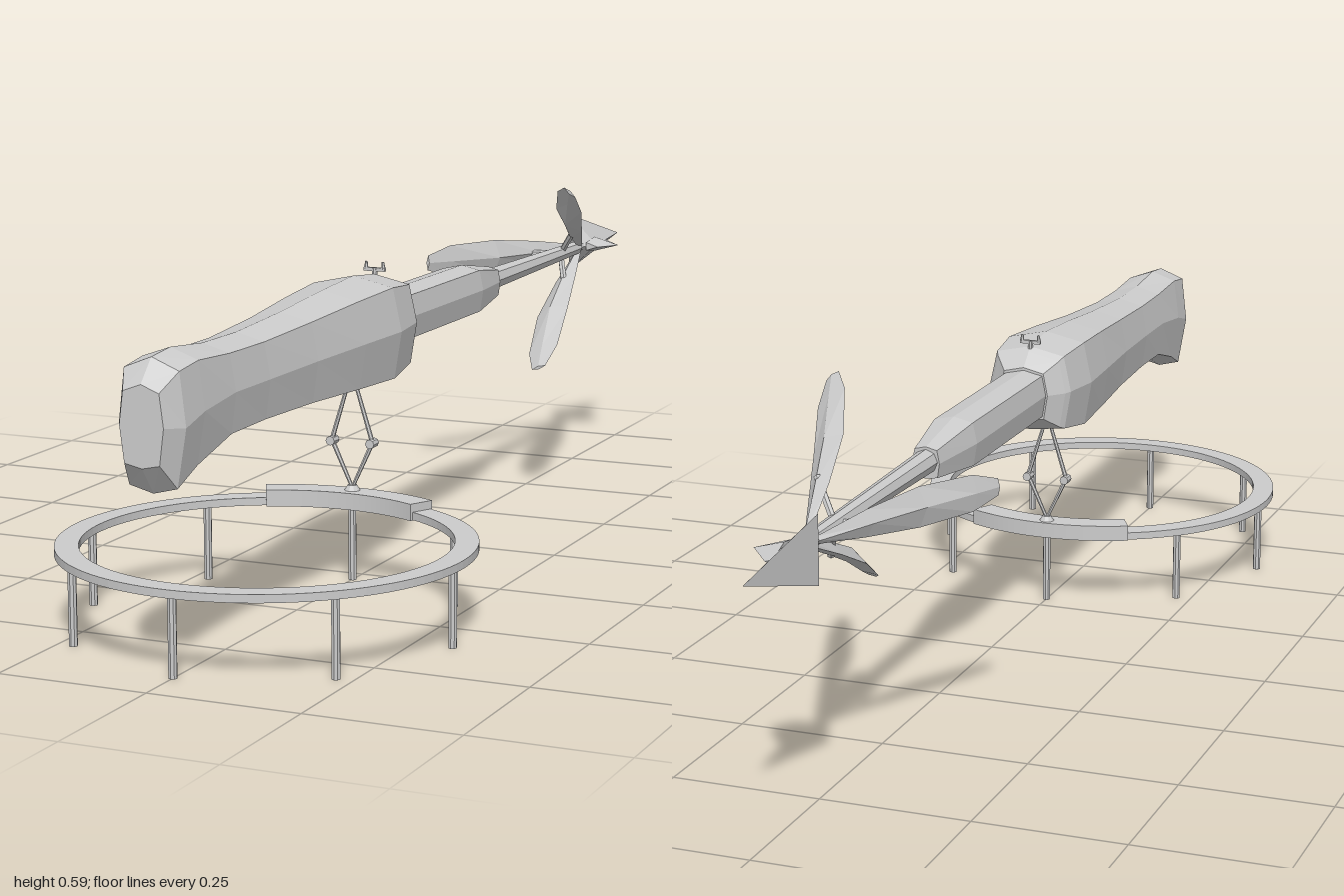
import * as THREE from 'three';

const mat = new THREE.MeshStandardMaterial({ color: 0xcccccc, flatShading: true });
const smooth = new THREE.MeshStandardMaterial({ color: 0xcccccc });

function add(parent, name, geo, material = mat) {
  const m = new THREE.Mesh(geo, material);
  m.name = name;
  parent.add(m);
  return m;
}

// Skin over rings of [x, y, z]; rings run from +z to -z, points counter-clockwise seen from +z
function loft(rings) {
  const n = rings[0].length, pos = [], idx = [];
  rings.forEach(r => r.forEach(p => pos.push(...p)));
  const centre = r => r.reduce((s, p) => s.map((v, k) => v + p[k] / n), [0, 0, 0]);
  const last = (rings.length - 1) * n, c0 = rings.length * n, c1 = c0 + 1;
  pos.push(...centre(rings[0]), ...centre(rings[rings.length - 1]));
  for (let j = 0; j < n; j++) {
    const k = (j + 1) % n;
    for (let i = 0; i < last; i += n) {
      idx.push(i + j, i + n + j, i + k, i + k, i + n + j, i + n + k);
    }
    idx.push(c0, j, k, c1, last + k, last + j);
  }
  const g = new THREE.BufferGeometry();
  g.setAttribute('position', new THREE.Float32BufferAttribute(pos, 3));
  g.setIndex(idx);
  const flat = g.toNonIndexed();
  flat.computeVertexNormals();
  return flat;
}

// Eight-sided section: half width, top, bottom, and how wide the lower corners stay
function section([z, w, top, bot, low = 0.85]) {
  const y = f => bot + (top - bot) * f;
  const right = [[0, 0], [w * low, y(0.05) - bot], [w, y(0.5) - bot], [w * 0.82, y(0.91) - bot]];
  const left = [[0, top - bot], [-w * 0.82, y(0.91) - bot], [-w, y(0.5) - bot], [-w * low, y(0.05) - bot]];
  return [...right, ...left].map(p => [p[0], p[1] + bot, z]);
}

function rod(parent, name, a, b, r0, r1 = r0, sides = 8) {
  const A = new THREE.Vector3(...a), B = new THREE.Vector3(...b);
  const d = B.clone().sub(A);
  const m = add(parent, name, new THREE.CylinderGeometry(r1, r0, d.length(), sides));
  m.position.copy(A).add(B).multiplyScalar(0.5);
  m.quaternion.setFromUnitVectors(new THREE.Vector3(0, 1, 0), d.normalize());
  return m;
}

// Flat arc band lying in the ground plane; angle 0 is +x, positive towards -z
function arcBand(inner, outer, from, to, height) {
  const s = new THREE.Shape();
  s.absarc(0, 0, outer, from, to, false);
  s.absarc(0, 0, inner, to, from, true);
  const g = new THREE.ExtrudeGeometry(s, { depth: height, bevelEnabled: false, curveSegments: 48 });
  return g.rotateX(-Math.PI / 2);
}

export function createModel() {
  const root = new THREE.Group();
  root.name = 'harpoonGun';

  // Round track on eight posts
  const stand = new THREE.Group();
  stand.name = 'stand';
  stand.position.z = 0.603;
  root.add(stand);
  add(stand, 'trackRing', arcBand(0.294, 0.332, 0, Math.PI * 2, 0.013), smooth).position.y = 0.126;
  for (let i = 0; i < 8; i++) {
    const a = i * Math.PI / 4, x = 0.315 * Math.cos(a), z = 0.315 * Math.sin(a);
    rod(stand, 'post', [x, 0, z], [x, 0.128, z], 0.007);
  }

  // Carriage sliding on the track
  const half = 0.47, back = Math.PI / 2;
  add(stand, 'carriage', arcBand(0.289, 0.335, back - half, back + half, 0.028)).position.y = 0.125;

  // Diamond-shaped yoke with elbow joints
  const yoke = new THREE.Group();
  yoke.name = 'yoke';
  yoke.position.z = 0.287;
  root.add(yoke);
  const base = add(yoke, 'yokeBase', new THREE.CylinderGeometry(0.008, 0.014, 0.01, 10));
  base.position.y = 0.157;
  for (const s of [-1, 1]) {
    rod(yoke, 'lowerArm', [0, 0.157, 0], [s * 0.037, 0.236, 0], 0.003, 0.004, 6);
    rod(yoke, 'upperArm', [s * 0.037, 0.236, 0], [s * 0.003, 0.345, 0], 0.004, 0.003, 6);
    const joint = add(yoke, 'elbow', new THREE.CylinderGeometry(0.008, 0.008, 0.02, 8));
    joint.rotation.x = Math.PI / 2;
    joint.position.set(s * 0.036, 0.235, 0);
  }

  // Stock: z, half width, top, bottom, lower corner width
  add(root, 'stock', loft([
    [1.0, 0.036, 0.456, 0.333, 0.8],
    [0.967, 0.055, 0.491, 0.29, 0.72],
    [0.91, 0.056, 0.496, 0.315, 0.75],
    [0.81, 0.055, 0.486, 0.345],
    [0.7, 0.057, 0.485, 0.347],
    [0.55, 0.065, 0.493, 0.345],
    [0.4, 0.078, 0.505, 0.34],
    [0.28, 0.087, 0.512, 0.337],
    [0.195, 0.077, 0.503, 0.35],
    [0.185, 0.07, 0.495, 0.355],
    [0.16, 0.045, 0.472, 0.376],
  ].map(section)));

  // Barrel
  add(root, 'barrel', loft([
    [0.18, 0.042, 0.467, 0.381],
    [-0.18, 0.042, 0.467, 0.381],
    [-0.305, 0.024, 0.447, 0.393],
  ].map(section)));

  // Notched sight
  const sight = new THREE.Group();
  sight.name = 'sight';
  sight.position.set(0, 0.505, 0.195);
  root.add(sight);
  rod(sight, 'sightPost', [0, -0.02, 0], [0, 0.008, 0], 0.005);
  add(sight, 'sightBar', new THREE.BoxGeometry(0.038, 0.006, 0.006)).position.y = 0.006;
  for (const s of [-1, 1]) {
    rod(sight, 'sightProng', [s * 0.016, 0.006, 0], [s * 0.015, 0.019, 0], 0.004, 0.002, 6);
  }

  // Harpoon, built about its own axis
  const harpoon = new THREE.Group();
  harpoon.name = 'harpoon';
  harpoon.position.y = 0.422;
  root.add(harpoon);
  rod(harpoon, 'shaft', [0, 0, -0.29], [0, 0, -0.76], 0.021, 0.013);
  rod(harpoon, 'neck', [0, 0, -0.75], [0, 0, -0.82], 0.011, 0.006);

  // Three swept barbs: angle in degrees, tip radius, tip z
  for (const [deg, R, tip] of [[52, 0.198, -0.4], [178, 0.17, -0.42], [-69, 0.185, -0.392]]) {
    const barb = new THREE.Group();
    barb.name = 'barb';
    barb.rotation.z = THREE.MathUtils.degToRad(deg);
    harpoon.add(barb);
    // fraction along, radius, half width, half thickness
    const rings = [
      [0, R, 0.014, 0.003],
      [0.13, R * 0.85, 0.03, 0.007],
      [0.4, R * 0.54, 0.033, 0.013],
      [0.7, R * 0.28, 0.022, 0.011],
      [1, 0.009, 0.006, 0.006],
    ].map(([f, r, w, t]) => {
      const z = THREE.MathUtils.lerp(tip, -0.765, f);
      return [[r + t, 0, z], [r, w, z], [r - t, 0, z], [r, -w, z]];
    });
    add(barb, 'barbBlade', loft(rings));
    rod(barb, 'barbStrut', [0.01, 0, -0.67], [R * 0.38, 0, -0.635], 0.006, 0.006, 6);
  }

  // Spearhead with one small side spur
  const tri = (s, z) => [[0.024 * s, 0, z], [-0.034 * s, 0.058 * s, z], [-0.034 * s, -0.054 * s, z]];
  add(harpoon, 'spearhead', loft([tri(0.1, -0.765), tri(1, -0.812), tri(0.01, -1)]));
  add(harpoon, 'spearSpur', loft([
    [[0.036, 0, -0.785], [0.012, 0.008, -0.785], [0.012, -0.008, -0.785]],
    [[0.064, 0, -0.828], [0.014, 0.014, -0.828], [0.014, -0.014, -0.828]],
    [[0.02, 0, -0.885], [0.006, 0.004, -0.885], [0.006, -0.004, -0.885]],
  ]));

  return root;
}
